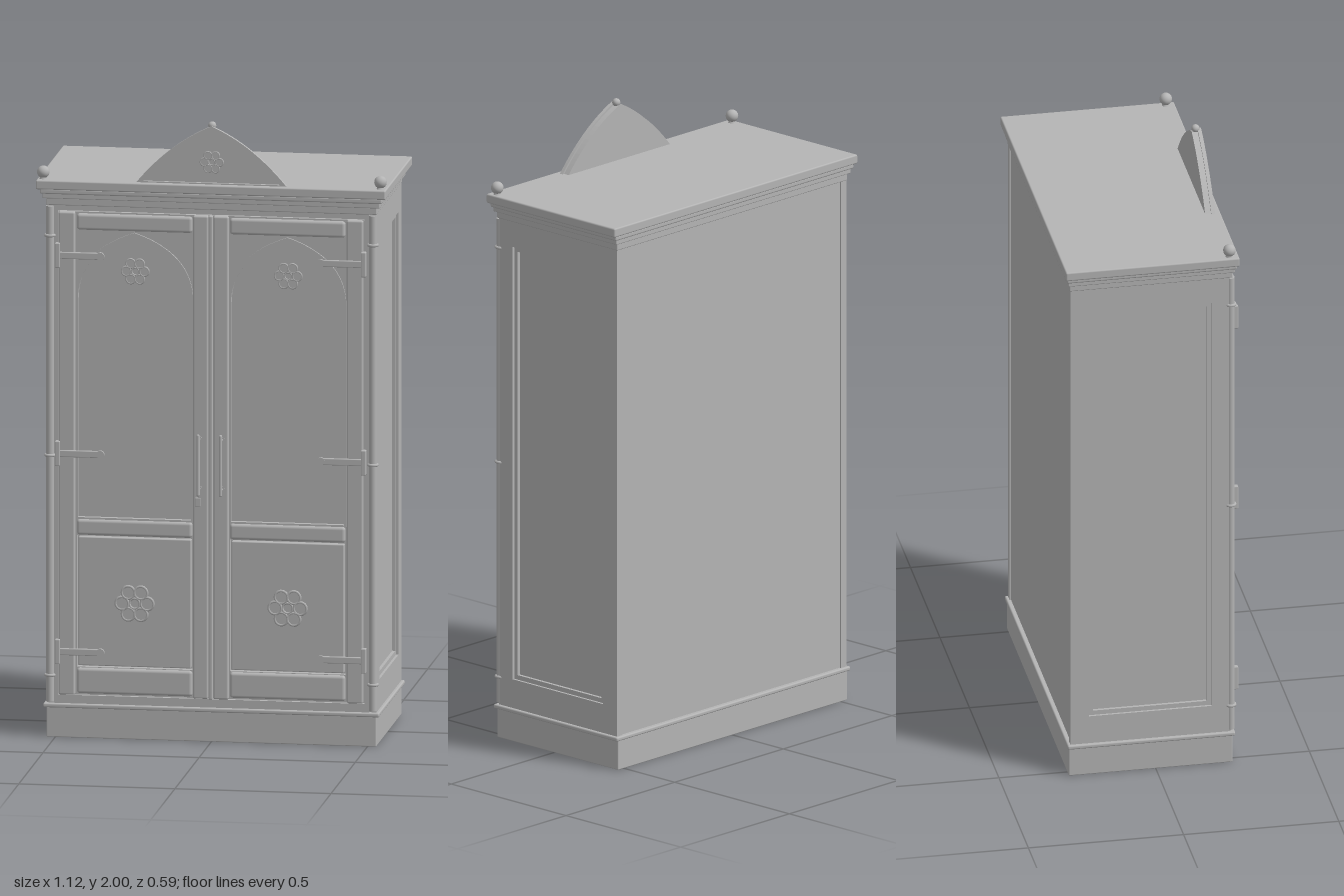
import * as THREE from 'three';
import { RoundedBoxGeometry } from 'three/addons/geometries/RoundedBoxGeometry.js';

const grey = new THREE.MeshStandardMaterial({ color: 0xb4b4b4 });
grey.name = 'stone grey';

function add(parent, name, geometry, x = 0, y = 0, z = 0) {
  const m = new THREE.Mesh(geometry, grey);
  m.name = name;
  m.position.set(x, y, z);
  parent.add(m);
  return m;
}

// Box given by its limits, with slightly softened edges
function block(parent, name, x0, x1, y0, y1, z0, z1, r = 0.003) {
  const w = Math.abs(x1 - x0), h = y1 - y0, d = z1 - z0;
  const g = r ? new RoundedBoxGeometry(w, h, d, 2, r) : new THREE.BoxGeometry(w, h, d);
  return add(parent, name, g, (x0 + x1) / 2, (y0 + y1) / 2, (z0 + z1) / 2);
}

const rectPoints = (x0, x1, y0, y1) =>
  [[x0, y0], [x1, y0], [x1, y1], [x0, y1]].map(p => new THREE.Vector2(...p));

// Pointed arch outline: straight jambs, then two curves meeting at the apex
function archPath(w, y0, spring, top, ctrl) {
  const p = new THREE.Path();
  p.moveTo(-w, y0);
  p.lineTo(w, y0);
  p.lineTo(w, spring);
  p.quadraticCurveTo(w, ctrl, 0, top);
  p.quadraticCurveTo(-w, ctrl, -w, spring);
  p.lineTo(-w, y0);
  return p;
}

function extrude(shape, depth) {
  return new THREE.ExtrudeGeometry(shape, { depth, bevelEnabled: false, curveSegments: 16 });
}

// Six small rings around a centre ring
function rosette(parent, x, y, z, r) {
  const g = new THREE.Group();
  g.name = 'rosette';
  g.position.set(x, y, z);
  parent.add(g);
  const lobe = r * 0.32;
  for (let i = 0; i < 6; i++) {
    const a = i * Math.PI / 3;
    const px = Math.cos(a) * r * 0.64, py = Math.sin(a) * r * 0.64;
    add(g, 'petalRing', new THREE.TorusGeometry(lobe, r * 0.07, 6, 18), px, py, 0);
    const disc = add(g, 'petal', new THREE.CylinderGeometry(lobe, lobe, 0.004, 18), px, py, 0);
    disc.rotation.x = Math.PI / 2;
  }
  add(g, 'centreRing', new THREE.TorusGeometry(r * 0.26, r * 0.06, 6, 18));
}

// Strap hinge: upright plate at the door edge and a tapering strap
function hinge(parent, s, y) {
  const g = new THREE.Group();
  g.name = 'hinge';
  parent.add(g);
  block(g, 'hingePlate', s * 0.482, s * 0.498, y - 0.04, y + 0.04, 0.25, 0.272);
  block(g, 'hingeStrap', s * 0.355, s * 0.485, y - 0.011, y + 0.011, 0.258, 0.268);
  const tip = add(g, 'hingeTip', new THREE.CylinderGeometry(0.013, 0.013, 0.009, 16), s * 0.353, y, 0.264);
  tip.rotation.x = Math.PI / 2;
}

function door(s) {
  const g = new THREE.Group();
  g.name = s > 0 ? 'leftDoor' : 'rightDoor';
  const cx = s * 0.245;

  // Leaf with an arched opening above and a rectangular one below
  const leaf = new THREE.Shape(rectPoints(-0.242, 0.245, 0.14, 1.7));
  leaf.holes.push(archPath(0.185, 0.71, 1.42, 1.63, 1.57));
  leaf.holes.push(new THREE.Path(rectPoints(-0.185, 0.185, 0.23, 0.655)));
  add(g, 'doorLeaf', extrude(leaf, 0.022), cx, 0, 0.226);
  block(g, 'upperPanel', cx - 0.19, cx + 0.19, 0.7, 1.635, 0.222, 0.234, 0);
  block(g, 'lowerPanel', cx - 0.18, cx + 0.18, 0.235, 0.65, 0.225, 0.25);

  // Stiles and rails
  block(g, 'innerStile', s * 0.008, s * 0.057, 0.14, 1.7, 0.235, 0.262, 0.006);
  block(g, 'outerStile', s * 0.435, s * 0.488, 0.14, 1.7, 0.235, 0.262, 0.006);
  block(g, 'topRail', cx - 0.185, cx + 0.185, 1.642, 1.695, 0.235, 0.26, 0.01);
  block(g, 'middleRail', cx - 0.185, cx + 0.185, 0.657, 0.708, 0.235, 0.26, 0.01);
  block(g, 'bottomRail', cx - 0.185, cx + 0.185, 0.145, 0.228, 0.235, 0.26, 0.01);

  // Raised bead round the arch
  const bead = new THREE.Shape(archPath(0.188, 0.708, 1.42, 1.637, 1.575).getPoints(16));
  bead.holes.push(archPath(0.181, 0.714, 1.42, 1.625, 1.565));
  add(g, 'archBead', extrude(bead, 0.016), cx, 0, 0.238);

  rosette(g, cx, 1.51, 0.238, 0.045);
  rosette(g, cx, 0.44, 0.252, 0.063);
  for (const y of [0.28, 0.92, 1.56]) hinge(g, s, y);

  // Pull handle on two posts
  const hx = s * 0.036;
  add(g, 'handleGrip', new THREE.CapsuleGeometry(0.0055, 0.19, 4, 12), hx, 0.9, 0.289);
  for (const y of [0.82, 0.98]) {
    const post = add(g, 'handlePost', new THREE.CylinderGeometry(0.004, 0.004, 0.032, 10), hx, y, 0.274);
    post.rotation.x = Math.PI / 2;
    const rose = add(g, 'handleRose', new THREE.CylinderGeometry(0.009, 0.009, 0.004, 14), hx, y, 0.263);
    rose.rotation.x = Math.PI / 2;
  }
  return g;
}

// Side frame with a recessed panel and an inner bead
function side(s) {
  const g = new THREE.Group();
  g.name = s > 0 ? 'leftSide' : 'rightSide';
  const frame = new THREE.Shape(rectPoints(-0.24, 0.275, 0.11, 1.72));
  frame.holes.push(new THREE.Path(rectPoints(-0.18, 0.215, 0.205, 1.635)));
  const f = add(g, 'sideFrame', extrude(frame, 0.025), s > 0 ? 0.503 : -0.528, 0, 0);
  f.rotation.y = Math.PI / 2;
  const bead = new THREE.Shape(rectPoints(-0.18, 0.215, 0.205, 1.635));
  bead.holes.push(new THREE.Path(rectPoints(-0.165, 0.2, 0.22, 1.62)));
  const b = add(g, 'sideBead', extrude(bead, 0.012), s > 0 ? 0.508 : -0.52, 0, 0);
  b.rotation.y = Math.PI / 2;

  // Slender corner column with rings
  add(g, 'cornerColumn', new THREE.CylinderGeometry(0.013, 0.013, 1.6, 16), s * 0.517, 0.915, 0.243);
  for (const y of [0.2, 0.91, 1.62]) {
    const ring = add(g, 'columnRing', new THREE.TorusGeometry(0.014, 0.005, 8, 18), s * 0.517, y, 0.243);
    ring.rotation.x = Math.PI / 2;
  }
  return g;
}

// Curved gable with raised rim, rosette and ball
function gable() {
  const g = new THREE.Group();
  g.name = 'gable';
  const outline = (w, y0, top) => {
    const p = new THREE.Shape();
    p.moveTo(-w, y0);
    p.lineTo(w, y0);
    p.quadraticCurveTo(w * 0.55, y0 + (top - y0) * 0.7, 0, top);
    p.quadraticCurveTo(-w * 0.55, y0 + (top - y0) * 0.7, -w, y0);
    return p;
  };
  add(g, 'gablePanel', extrude(outline(0.235, 1.798, 1.98), 0.021), 0, 0, 0.215);
  const rim = outline(0.242, 1.798, 1.987);
  rim.holes.push(outline(0.218, 1.804, 1.972));
  add(g, 'gableRim', extrude(rim, 0.012), 0, 0, 0.234);
  rosette(g, 0, 1.87, 0.237, 0.038);
  add(g, 'gableBall', new THREE.SphereGeometry(0.013, 20, 14), 0, 1.987, 0.228);
  return g;
}

export function createModel() {
  const model = new THREE.Group();
  model.name = 'wardrobe';

  // Base and carcass
  block(model, 'plinth', -0.528, 0.528, 0, 0.098, -0.28, 0.247);
  block(model, 'plinthMoulding', -0.538, 0.538, 0.096, 0.11, -0.285, 0.255, 0.005);
  block(model, 'carcass', -0.51, 0.51, 0.1, 1.73, -0.27, 0.225, 0);
  block(model, 'frontTopRail', -0.505, 0.505, 1.702, 1.722, 0.22, 0.245, 0);
  block(model, 'frontBottomRail', -0.505, 0.505, 0.108, 0.137, 0.22, 0.245, 0);
  block(model, 'centreStrip', -0.006, 0.006, 0.14, 1.7, 0.23, 0.265);

  for (const s of [-1, 1]) {
    model.add(side(s), door(s));
    block(model, 'frontPost', s * 0.491, s * 0.505, 0.11, 1.72, 0.22, 0.245, 0);
    add(model, 'cornerBall', new THREE.SphereGeometry(0.02, 24, 16), s * 0.54, 1.822, 0.235);
    add(model, 'ballFoot', new THREE.CylinderGeometry(0.01, 0.013, 0.008, 16), s * 0.54, 1.802, 0.235);
  }

  // Lock plate
  block(model, 'lockPlate', -0.05, -0.032, 0.762, 0.79, 0.26, 0.265, 0.002);

  // Stepped cornice
  block(model, 'corniceLower', -0.53, 0.53, 1.718, 1.742, -0.278, 0.248);
  block(model, 'corniceMiddle', -0.54, 0.54, 1.74, 1.758, -0.284, 0.254);
  block(model, 'corniceUpper', -0.548, 0.548, 1.755, 1.772, -0.289, 0.259, 0.005);
  block(model, 'topBoard', -0.56, 0.56, 1.77, 1.8, -0.295, 0.265, 0.005);

  model.add(gable());
  return model;
}
